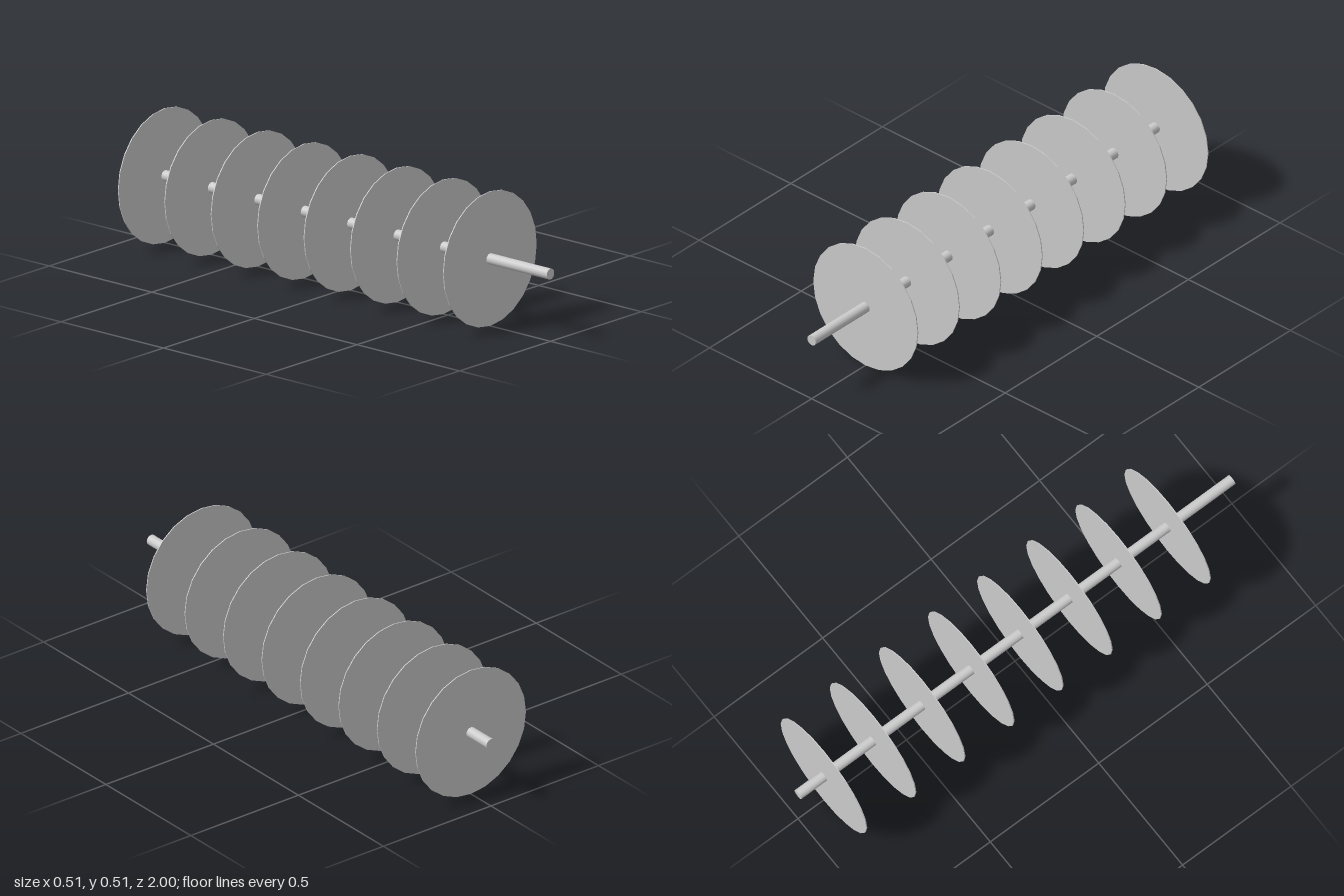
import * as THREE from 'three';

const AXIS_Y = 0.256;
const DISC_COUNT = 8;
const FRONT_Z = 0.704;
const SPACING = 0.2263;

export function createModel() {
  const group = new THREE.Group();
  group.name = 'discRotor';
  const smooth = new THREE.MeshStandardMaterial({ color: 0xcccccc });
  const faceted = new THREE.MeshStandardMaterial({ color: 0xcccccc, flatShading: true });

  // Round cylinder lying along z on the common axis
  function addAxial(name, radius, length, sides, z, material) {
    const geometry = new THREE.CylinderGeometry(radius, radius, length, sides).rotateX(Math.PI / 2);
    const mesh = new THREE.Mesh(geometry, material);
    mesh.name = name;
    mesh.position.set(0, AXIS_Y, z);
    group.add(mesh);
  }

  // Long central shaft
  addAxial('shaft', 0.0205, 2, 32, 0, smooth);

  // Evenly spaced thin discs, set slightly towards the back of the shaft
  for (let i = 0; i < DISC_COUNT; i++) {
    addAxial(`disc${i + 1}`, AXIS_Y, 0.004, 24, FRONT_Z - i * SPACING, faceted);
  }
  return group;
}
